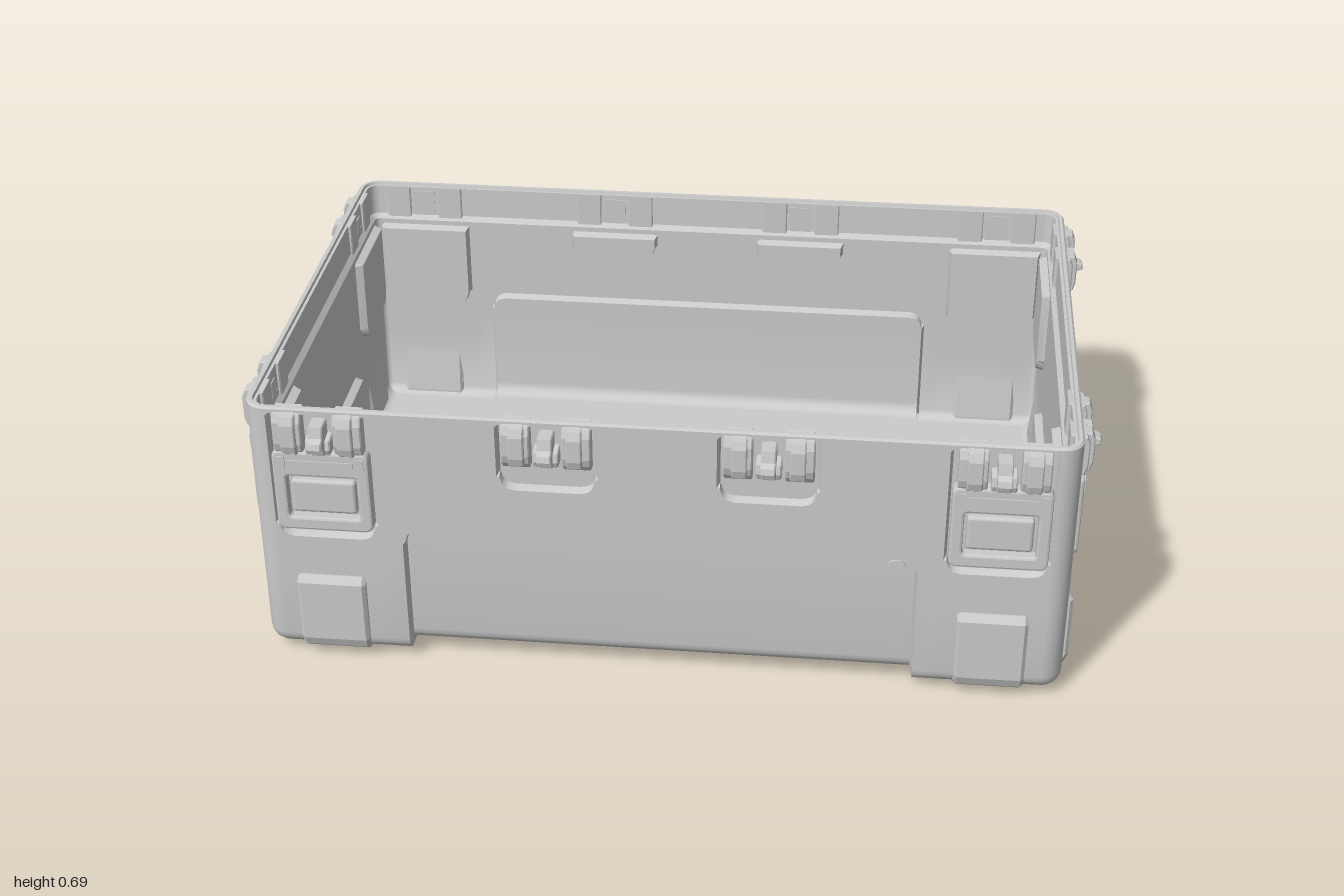
import * as THREE from 'three';
import { toCreasedNormals } from 'three/addons/utils/BufferGeometryUtils.js';
import { RoundedBoxGeometry } from 'three/addons/geometries/RoundedBoxGeometry.js';

const LX = 0.95, LZ = 0.62, R = 0.05;   // half width, half depth, plan corner radius
const TOP = 0.687, BASE = 0.02, DEPTH = 0.02, STEP = 0.007;
const mat = new THREE.MeshStandardMaterial({ color: 0xcccccc });
const matOpen = new THREE.MeshStandardMaterial({ color: 0xcccccc, side: THREE.DoubleSide });

function add(parent, name, geo, x = 0, y = 0, z = 0, material = mat) {
  const m = new THREE.Mesh(geo, material);
  m.name = name;
  m.position.set(x, y, z);
  parent.add(m);
  return m;
}

function box(parent, name, x0, x1, y0, y1, z0, z1) {
  return add(parent, name, new THREE.BoxGeometry(x1 - x0, y1 - y0, z1 - z0),
    (x0 + x1) / 2, (y0 + y1) / 2, (z0 + z1) / 2);
}

// Side profile given as (z, y), extruded along x and centred on it
function profileGeo(pts, width, bevel = 0.003) {
  const s = new THREE.Shape(pts.map(p => new THREE.Vector2(p[0], p[1])));
  const g = new THREE.ExtrudeGeometry(s, { depth: width - 2 * bevel, bevelSize: bevel, bevelThickness: bevel, bevelOffset: -bevel, bevelSegments: 1 });
  return g.translate(0, 0, -width / 2 + bevel).rotateY(-Math.PI / 2);
}

function roundRect(path, x0, x1, y0, y1, r) {
  path.moveTo(x0 + r, y0);
  path.absarc(x1 - r, y0 + r, r, -Math.PI / 2, 0);
  path.absarc(x1 - r, y1 - r, r, 0, Math.PI / 2);
  path.absarc(x0 + r, y1 - r, r, Math.PI / 2, Math.PI);
  path.absarc(x0 + r, y0 + r, r, Math.PI, Math.PI * 1.5);
  return path;
}

// Wall columns across one side: T = top of lower recess, P = bottom of latch pocket
function sideColumns(k) {
  const long = k % 2 === 0;
  const features = long
    ? [[-0.898, -0.655, 'P', 0.34], [-0.37, -0.135, 'P', 0.5], [-0.6, 0.6, 'T', 0.375],
       [0.135, 0.37, 'P', 0.5], [0.655, 0.898, 'P', 0.34]]
    : [[-0.565, -0.325, 'P', 0.34], [-0.27, 0.27, 'T', 0.28], [0.325, 0.565, 'P', 0.34]];
  const round = 0.035, steps = [0, STEP, 0.012, 0.018, 0.026, round + STEP];
  const at = new Set();
  for (const [a, b] of features) for (const d of steps) { at.add(+(a + d).toFixed(4)); at.add(+(b - d).toFixed(4)); }
  return [...at].sort((a, b) => a - b).map(s => {
    const c = { k, s, T: long && Math.abs(s) < 0.61 ? 0.375 : 0.28, P: long && Math.abs(s) < 0.5 ? 0.5 : 0.45, d: 0, pd: 0 };
    for (const [a, b, type, y] of features) {
      const e = Math.min(s - a, b - s);
      if (e < -1e-6) continue;
      const q = Math.max(0, round - Math.max(0, e - STEP));
      const drop = round - Math.sqrt(Math.max(0, round * round - q * q));
      const inside = e > STEP / 2 ? DEPTH : 0;
      if (type === 'T') { c.T = y - drop; c.d = inside; }
      else { c.P = y + drop; c.pd = inside; if (y < 0.4) c.T = 0.25; }
    }
    return c;
  });
}

function columnPoint(c, o) {
  const L = c.k % 2 ? LX : LZ, W = c.k % 2 ? LZ : LX, m = Math.max(R, o), r = Math.max(R - o, 0);
  let u, v;
  if (c.angle !== undefined) { u = W - m + r * Math.sin(c.angle); v = L - m + r * Math.cos(c.angle); }
  else { u = THREE.MathUtils.clamp(c.s, m - W, W - m); v = L - o; }
  return [[u, v], [v, -u], [-u, -v], [-v, u]][c.k];
}

// Inset and height of the wall section: up the outside, over the rim, down the inside
function wallSection(c) {
  const rows = [], arc = (t, r, y0, i) => {
    const a = i / 5 * Math.PI / 2;
    return [t + r * (1 - Math.sin(a)) + c.d, y0 + r * (1 - Math.cos(a)) + c.d];
  };
  for (let i = 0; i <= 5; i++) rows.push(arc(0, 0.04, BASE, i));
  rows.push([c.d, c.T - STEP], [0, c.T], [0, c.P], [c.pd, c.P + STEP], [c.pd, 0.665], [0, 0.672],
    [0, TOP - 0.005], [0.005, TOP], [0.013, TOP], [0.015, TOP - 0.007], [0.022, TOP - 0.007], [0.024, 0.6],
    [0.036, 0.588], [0.036, 0.575], [0.036 + c.pd, 0.568], [0.036 + c.pd, c.P + STEP],
    [0.036, c.P], [0.036, c.T], [0.036 + c.d, c.T - STEP]);
  for (let i = 5; i >= 0; i--) rows.push(arc(0.036, 0.03, 0.05, i));
  return rows;
}

function wallGeo() {
  const cols = [];
  for (let k = 0; k < 4; k++) {
    cols.push(...sideColumns(k));
    for (let i = 0; i <= 6; i++) cols.push({ k, angle: i / 6 * Math.PI / 2, T: 0.25, P: 0.45, d: 0, pd: 0 });
  }
  const pos = [], idx = [], n = wallSection(cols[0]).length;
  for (const c of cols) for (const [o, y] of wallSection(c)) {
    const [x, z] = columnPoint(c, o);
    pos.push(x, y, z);
  }
  for (let i = 0; i < cols.length; i++) for (let j = 0; j < n - 1; j++) {
    const a = i * n + j, b = ((i + 1) % cols.length) * n + j;
    idx.push(a, b, b + 1, a, b + 1, a + 1);
  }
  const g = new THREE.BufferGeometry();
  g.setAttribute('position', new THREE.Float32BufferAttribute(pos, 3));
  g.setIndex(idx);
  return toCreasedNormals(g, 0.5);
}

// Ribs that take the lid latch; a hook on front and sides, a hinge knuckle on the back
function latch(hooked) {
  const g = new THREE.Group();
  g.name = 'latch';
  const rib = z => [[-0.03, 0.565], [0, 0.565], [z - 0.006, 0.58], [z, 0.6], [z, 0.655], [z - 0.008, 0.675], [-0.03, 0.682]];
  for (const s of [-1, 1]) {
    add(g, 'latchRibBase', profileGeo(rib(0.016), 0.066), s * 0.07);
    add(g, 'latchRib', profileGeo(rib(0.028), 0.036), s * 0.066);
  }
  if (hooked) {
    add(g, 'hook', profileGeo([[-0.025, 0.575], [0.016, 0.575], [0.024, 0.598], [0.05, 0.608], [0.046, 0.622],
      [0.03, 0.628], [0.024, 0.655], [-0.025, 0.655]], 0.034));
    add(g, 'hookBase', profileGeo([[-0.025, 0.575], [0.012, 0.575], [0.018, 0.59], [0.014, 0.612], [-0.025, 0.62]], 0.058));
  } else {
    add(g, 'hingeKnuckle', new THREE.CylinderGeometry(0.016, 0.016, 0.09, 16).rotateZ(Math.PI / 2), 0, 0.63, 0.004);
    box(g, 'hingeBlock', -0.028, 0.028, 0.58, 0.668, -0.025, 0.008);
  }
  return g;
}

// Framed pull plate below each corner latch
const frameShape = roundRect(new THREE.Shape(), -0.113, 0.113, 0.366, 0.578, 0.018);
frameShape.holes.push(roundRect(new THREE.Path(), -0.083, 0.083, 0.4, 0.512, 0.008));
const frameGeo = new THREE.ExtrudeGeometry(frameShape, { depth: 0.026, bevelSize: 0.006, bevelThickness: 0.006, bevelOffset: -0.006, bevelSegments: 2, curveSegments: 5 }).translate(0, 0, -0.021);
function pullPlate() {
  const g = new THREE.Group();
  g.name = 'pullPlate';
  add(g, 'plateFrame', frameGeo);
  add(g, 'plateGrip', new RoundedBoxGeometry(0.152, 0.088, 0.026, 2, 0.009), 0, 0.452, -0.012);
  box(g, 'plateBack', -0.09, 0.09, 0.395, 0.52, -0.03, -0.015);
  box(g, 'plateTab', -0.078, 0.078, 0.542, 0.556, 0, 0.014);
  for (const s of [-1, 1]) box(g, 'plateEar', s * 0.092 - 0.01, s * 0.092 + 0.01, 0.535, 0.565, 0, 0.014);
  return g;
}

// Raised guard at the bottom corners, following the rounded lower edge
const guardGeo = profileGeo([[-0.03, 0.235], [0.004, 0.235], [0.0175, 0.218], [0.0175, 0.06], [0.008, 0.036],
  [-0.01, 0.021], [-0.05, 0.018], [-0.05, 0.06]], 0.165, 0.008);

export function createModel() {
  const root = new THREE.Group();
  root.name = 'openCase';
  const body = new THREE.Group();
  body.name = 'caseBody';
  body.position.z = -0.0085;
  root.add(body);

  add(body, 'walls', wallGeo(), 0, 0, 0, matOpen);

  // Floor: raised panels, with lower corners and ribs between them
  box(body, 'floorBand', -0.89, 0.89, 0.04, 0.07, -0.27, 0.27);
  for (const sz of [-1, 1]) {
    const span = (a, b) => [Math.min(sz * a, sz * b), Math.max(sz * a, sz * b)];
    box(body, 'floorPanel', -0.6, 0.6, 0.04, 0.07, ...span(0.31, 0.56));
    box(body, 'floorRib', -0.6, 0.6, 0.02, 0.05, ...span(0.27, 0.31));
    for (const sx of [-1, 1]) {
      box(body, 'floorCorner', Math.min(sx * 0.6, sx * 0.91), Math.max(sx * 0.6, sx * 0.91), 0.02, 0.05, ...span(0.27, 0.58));
      add(body, 'foot', new RoundedBoxGeometry(0.25, 0.03, 0.245, 2, 0.006), sx * 0.772, 0.015, sz * 0.436);
    }
  }

  // Fittings on each of the four walls
  for (let k = 0; k < 4; k++) {
    const side = new THREE.Group();
    side.name = ['frontFittings', 'leftFittings', 'backFittings', 'rightFittings'][k];
    side.rotation.y = k * Math.PI / 2;
    body.add(side);
    const out = k % 2 ? LX : LZ, corner = k % 2 ? 0.4425 : 0.7775;
    for (const s of [-1, 1]) {
      const set = [latch(k !== 2), pullPlate()];
      for (const part of set) part.position.set(s * corner, 0, out);
      side.add(...set);
      add(side, 'cornerGuard', guardGeo, s * corner, 0, out);
      if (k % 2 === 0) {
        const mid = latch(k !== 2);
        mid.position.set(s * 0.2525, 0, out);
        side.add(mid);
      }
    }
  }

  // Pressure valve through the front wall
  add(body, 'valve', new THREE.CylinderGeometry(0.022, 0.022, 0.046, 24).rotateX(Math.PI / 2), 0.55, 0.335, LZ - DEPTH - 0.018);
  return root;
}
